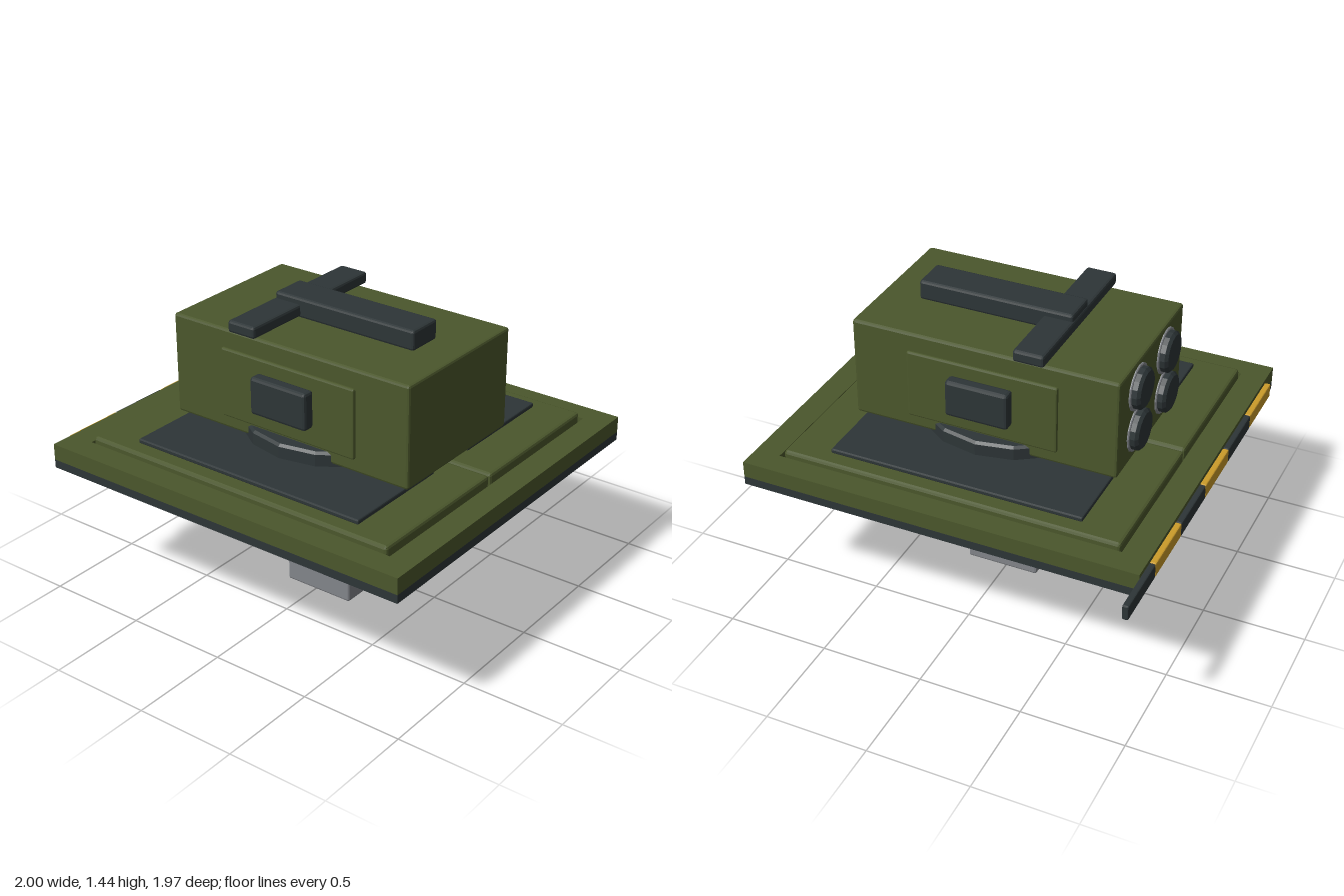
import * as THREE from 'three';
import { RoundedBoxGeometry } from 'three/addons/geometries/RoundedBoxGeometry.js';

const mat = (name, color) => {
  const m = new THREE.MeshStandardMaterial({ color });
  m.name = name;
  return m;
};

export function createModel() {
  const root = new THREE.Group();
  root.name = 'hatchTurret';
  const green = mat('olive green', 0x4b572c);
  const dark = mat('dark slate', 0x2d3537);
  const grey = mat('steel grey', 0x82858a);
  const yellow = mat('warning yellow', 0xcc9c2a);
  const CX = -0.095; // middle of the turret, the stripe bar sticks out to one side

  const flat = (geo) => {
    const g = geo.index ? geo.toNonIndexed() : geo;
    g.computeVertexNormals();
    return g;
  };

  const add = (name, geo, material) => {
    const mesh = new THREE.Mesh(geo, material);
    mesh.name = name;
    root.add(mesh);
    return mesh;
  };

  // Box from its limits, with an optional chamfer on all edges
  const box = (name, material, [x0, x1], [y0, y1], [z0, z1], chamfer = 0) => {
    const s = [x1 - x0, y1 - y0, z1 - z0];
    const geo = chamfer
      ? flat(new RoundedBoxGeometry(...s, 1, chamfer))
      : new THREE.BoxGeometry(...s);
    const mesh = add(name, geo, material);
    mesh.position.set((x0 + x1) / 2, (y0 + y1) / 2, (z0 + z1) / 2);
    return mesh;
  };

  // Faceted disc with chamfered top rim, standing on y = 0
  const disc = (r, h, c) => flat(new THREE.LatheGeometry([
    new THREE.Vector2(0, 0), new THREE.Vector2(r, 0), new THREE.Vector2(r, h - c),
    new THREE.Vector2(r - c, h), new THREE.Vector2(0, h),
  ], 16));

  // Post and base plate
  box('post', grey, [-0.28, 0.09], [0, 0.67], [-0.165, 0.2], 0.01);
  box('basePlate', dark, [-1, 0.805], [0.665, 0.706], [-0.955, 0.985]);

  // Frame around the hatch
  box('frameFront', green, [-1, 0.805], [0.706, 0.785], [0.86, 0.985]);
  box('frameBack', green, [-1, 0.805], [0.706, 0.785], [-0.955, -0.83]);
  box('frameRight', green, [-1, -0.88], [0.706, 0.785], [-0.83, 0.86]);
  box('frameLeft', green, [0.69, 0.805], [0.706, 0.785], [-0.83, 0.86]);

  // Two hatch doors, each with a dark pad
  for (const s of [-1, 1]) {
    const side = s < 0 ? 'Right' : 'Left';
    const span = (a, b) => [CX + s * a, CX + s * b].sort((p, q) => p - q);
    box('hatchDoor' + side, green, span(0.005, 0.78), [0.706, 0.815], [-0.82, 0.84], 0.014);
    box('hatchPad' + side, dark, span(0.135, 0.7), [0.812, 0.836], [-0.61, 0.635], 0.006);

    // Side panel and the small box mounted on it
    box('sidePanel' + side, green, span(0.37, 0.405), [0.915, 1.255], [-0.355, 0.39], 0.008);
    box('sideBox' + side, dark, span(0.4, 0.465), [1.008, 1.19], [-0.14, 0.17], 0.014);
  }

  // Turntable and turret body
  add('turntable', disc(0.465, 0.09, 0.012), dark).position.set(CX, 0.815, 0.02);
  box('turretBody', green, [-0.485, 0.295], [0.85, 1.345], [-0.642, 0.67], 0.012);

  // Roof bars
  box('roofSpine', dark, [-0.185, -0.005], [1.343, 1.44], [-0.29, 0.48], 0.012);
  box('roofCrossbar', dark, [-0.515, 0.325], [1.35, 1.408], [-0.295, -0.145], 0.012);

  // Four round ports on the back, each with a pale rim
  for (const x of [CX - 0.17, CX + 0.17]) {
    for (const y of [0.993, 1.21]) {
      const rim = add('portRim', disc(0.113, 0.012, 0.004), grey);
      const port = add('port', disc(0.1, 0.045, 0.014), dark);
      for (const m of [rim, port]) m.rotation.x = -Math.PI / 2;
      rim.position.set(x, y, -0.638);
      port.position.set(x, y, -0.643);
    }
  }

  // Striped bar along the back edge
  for (let i = 0; i < 6; i++) {
    const x = -0.875 + i * 0.3125;
    box('warningBar', i % 2 ? dark : yellow, [x, x + 0.3125], [0.697, 0.77], [-0.985, -0.955], 0.006);
  }

  return root;
}
